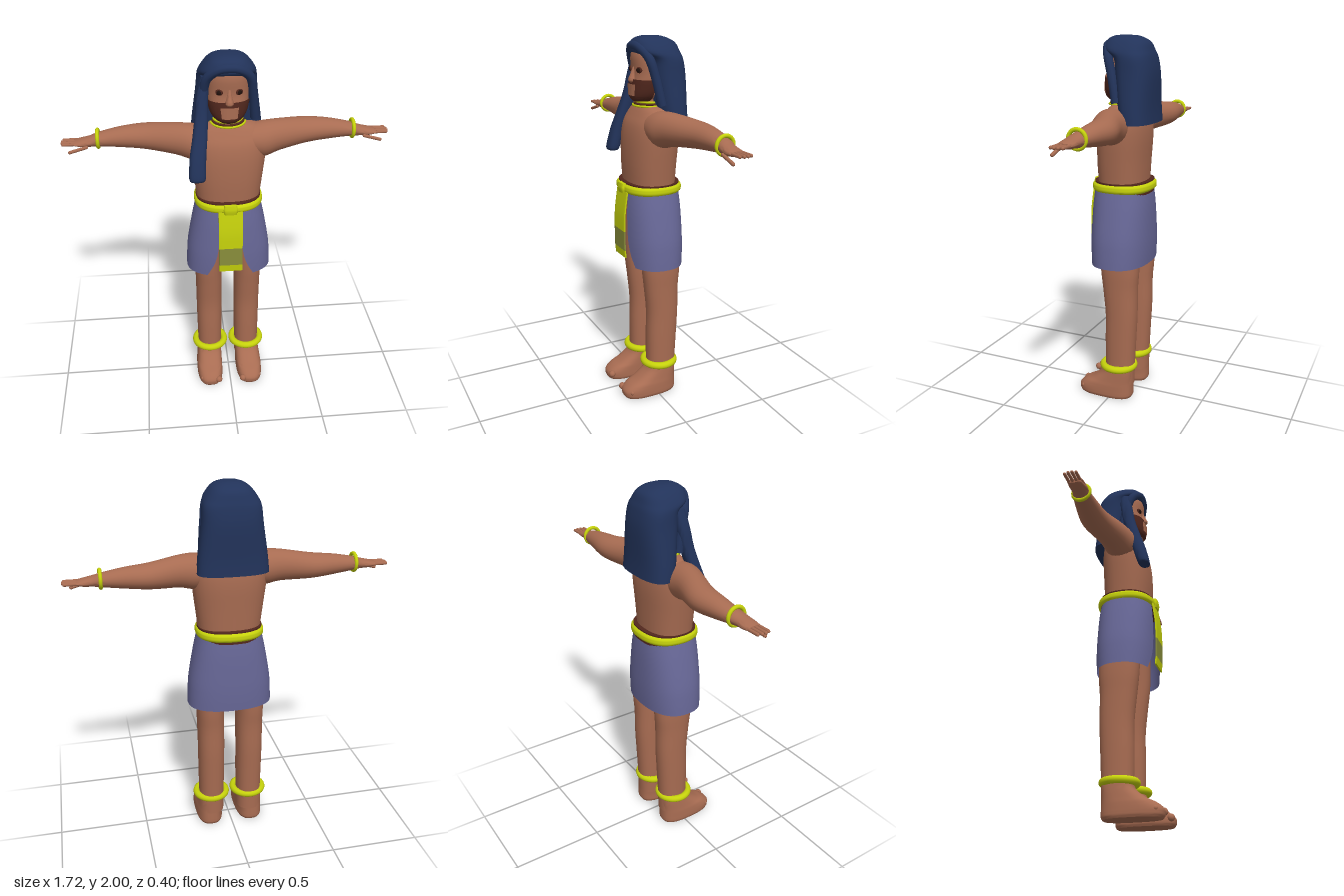
import * as THREE from 'three';
import { toCreasedNormals } from 'three/addons/utils/BufferGeometryUtils.js';

const mat = (name, color, open) => {
  const m = new THREE.MeshStandardMaterial({ color });
  m.name = name;
  if (open) m.side = THREE.DoubleSide;
  return m;
};

// Catmull-Rom subdivision of a list of rings
function smooth(rings, k) {
  const out = [], at = i => rings[Math.min(Math.max(i, 0), rings.length - 1)];
  for (let i = 0; i < rings.length - 1; i++) {
    for (let s = 0; s < k; s++) {
      const t = s / k, [a, b, c, d] = [at(i - 1), at(i), at(i + 1), at(i + 2)];
      out.push(b.map((_, n) => b[n] + 0.5 * t * (c[n] - a[n]
        + t * (2 * a[n] - 5 * b[n] + 4 * c[n] - d[n] + t * (3 * (b[n] - c[n]) + d[n] - a[n])))));
    }
  }
  out.push(at(rings.length));
  return out;
}

// Upward loft of superellipse rings [y, cx, cz, rx, rz, startAngle, endAngle]; angle 0 faces +z
function loft(rings, { p = 2, n = 32, k = 4, open = false, crease = 0.9 } = {}) {
  const list = k > 1 ? smooth(rings, k) : rings, pos = [], idx = [];
  const pow = v => Math.sign(v) * Math.abs(v) ** (2 / p);
  const cols = open ? n + 1 : n;
  for (const [y, cx, cz, rx, rz, a0 = 0, a1 = Math.PI * 2] of list) {
    for (let j = 0; j < cols; j++) {
      const a = a0 + (a1 - a0) * j / n;
      pos.push(cx + rx * pow(Math.sin(a)), y, cz + rz * pow(Math.cos(a)));
    }
  }
  for (let i = 0; i < list.length - 1; i++) {
    for (let j = 0; j < n; j++) {
      const a = i * cols + j, b = i * cols + (j + 1) % cols;
      idx.push(a, b, b + cols, a, b + cols, a + cols);
    }
  }
  if (!open) {
    const top = (list.length - 1) * n, c = list.length * n, last = list[list.length - 1];
    pos.push(list[0][1], list[0][0], list[0][2], last[1], last[0], last[2]);
    for (let j = 0; j < n; j++) {
      const m = (j + 1) % n;
      idx.push(c, m, j, c + 1, top + j, top + m);
    }
  }
  const g = new THREE.BufferGeometry();
  g.setAttribute('position', new THREE.Float32BufferAttribute(pos, 3));
  g.setIndex(idx);
  return toCreasedNormals(g, crease);
}

export function createModel() {
  const root = new THREE.Group();
  root.name = 'figure';
  const skin = mat('skin', 0xa86c52), skinPatch = mat('mouth skin', 0xa86c52, true);
  const hair = mat('hair navy', 0x22335a), gold = mat('gold', 0xc6d20c);
  const cloth = mat('kilt cloth', 0x686898, true), olive = mat('apron olive', 0x8a8f3c);
  const brown = mat('beard brown', 0x52281e, true), dark = mat('eye dark', 0x24140f);
  const add = (name, geo, m, x = 0, y = 0, z = 0, parent = root) => {
    const mesh = new THREE.Mesh(geo, m);
    mesh.name = name;
    mesh.position.set(x, y, z);
    parent.add(mesh);
    return mesh;
  };

  // Body
  add('torso', loft([
    [1.1, 0, -0.02, 0.16, 0.12], [1.22, 0, -0.02, 0.168, 0.125], [1.35, 0, -0.02, 0.183, 0.13],
    [1.47, 0, -0.025, 0.197, 0.13], [1.55, 0, -0.03, 0.2, 0.12], [1.6, 0, -0.035, 0.185, 0.1],
    [1.635, 0, -0.035, 0.14, 0.078], [1.655, 0, -0.035, 0.07, 0.06]], { p: 2.4 }), skin);
  add('neck', loft([[1.58, 0, -0.035, 0.075, 0.07], [1.64, 0, -0.03, 0.066, 0.062],
    [1.72, 0, -0.025, 0.064, 0.06]]), skin);

  // Head and face
  const face = [[1.672, 0, 0.005, 0.045, 0.055], [1.69, 0, 0, 0.07, 0.074], [1.72, 0, -0.004, 0.088, 0.081],
    [1.765, 0, -0.01, 0.1, 0.085], [1.82, 0, -0.02, 0.105, 0.086], [1.9, 0, -0.02, 0.1, 0.09],
    [1.95, 0, -0.02, 0.08, 0.075]];
  add('head', loft(face, { p: 2.2 }), skin);
  const beard = face.slice(0, 4).concat([[1.787, 0, -0.013, 0.103, 0.086]])
    .map(([y, x, z, rx, rz]) => [y, x, z, rx + 0.006, rz + 0.006, -1.6, 1.6]);
  add('beard', loft(beard, { p: 2.2, open: true }), brown);
  add('mouth', loft([[1.703, 0, -0.002, 0.088, 0.089, -0.42, 0.42],
    [1.762, 0, -0.01, 0.108, 0.096, -0.4, 0.4]], { p: 2.2, open: true, k: 1, n: 12 }), skinPatch);
  add('nose', loft([[1.768, 0, 0.055, 0.018, 0.03], [1.782, 0, 0.06, 0.024, 0.036],
    [1.81, 0, 0.055, 0.015, 0.03], [1.85, 0, 0.05, 0.01, 0.018]], { n: 16 }), skin);
  for (const s of [-1, 1]) {
    const lid = add('eyeRim', new THREE.SphereGeometry(0.02, 16, 10), brown, s * 0.05, 1.835, 0.057);
    lid.scale.set(1, 0.8, 0.4);
    lid.rotation.y = s * 0.45;
    const eye = add('eye', new THREE.SphereGeometry(0.012, 12, 8), dark, s * 0.051, 1.835, 0.062);
    eye.scale.z = 0.5;
    eye.rotation.y = s * 0.45;
  }

  // Long headcloth-like hair, its front arch and the side lock
  add('hair', loft([
    [1.555, 0, -0.118, 0.187, 0.082], [1.64, 0, -0.108, 0.18, 0.088], [1.8, 0, -0.097, 0.158, 0.1],
    [1.885, 0, -0.085, 0.15, 0.1], [1.925, 0, -0.05, 0.137, 0.122], [1.965, 0, -0.042, 0.108, 0.112],
    [1.988, 0, -0.033, 0.08, 0.085], [2.0, 0, -0.03, 0.045, 0.05]], { p: 2.6, n: 40 }), hair);
  add('hairArch', new THREE.TubeGeometry(new THREE.CatmullRomCurve3([
    [-0.13, 1.68, -0.02], [-0.125, 1.8, 0], [-0.105, 1.9, 0.03], [-0.05, 1.947, 0.055], [0, 1.955, 0.06],
    [0.05, 1.947, 0.055], [0.105, 1.9, 0.03], [0.125, 1.8, 0], [0.14, 1.66, -0.03]
  ].map(v => new THREE.Vector3(...v))), 40, 0.024, 10), hair);
  add('sideLock', loft([
    [1.385, -0.168, 0.118, 0.03, 0.02], [1.4, -0.168, 0.115, 0.043, 0.032], [1.5, -0.162, 0.088, 0.042, 0.036],
    [1.6, -0.148, 0.055, 0.038, 0.036], [1.7, -0.137, 0.025, 0.034, 0.034], [1.8, -0.13, 0.005, 0.03, 0.034],
    [1.9, -0.11, -0.01, 0.025, 0.03]], { p: 2.6, n: 20 }), hair);

  // Necklaces
  for (const [y, r, m] of [[1.668, 0.074, gold], [1.657, 0.08, brown], [1.648, 0.088, gold]]) {
    add('necklace', new THREE.TorusGeometry(r, 0.006, 8, 40), m, 0, y, -0.027).rotation.x = Math.PI / 2;
  }

  for (const s of [-1, 1]) {
    const side = new THREE.Group();
    side.name = s > 0 ? 'leftLimbs' : 'rightLimbs';
    root.add(side);
    // Arm: [distance out, height, z, half height, half depth]
    const arm = [[0.08, 1.55, -0.02, 0.075, 0.085], [0.18, 1.545, -0.02, 0.094, 0.09],
      [0.27, 1.555, -0.04, 0.083, 0.082], [0.42, 1.555, -0.085, 0.067, 0.076], [0.55, 1.555, -0.088, 0.053, 0.06],
      [0.66, 1.55, -0.08, 0.036, 0.046], [0.705, 1.545, -0.072, 0.027, 0.042], [0.75, 1.541, -0.07, 0.02, 0.043],
      [0.785, 1.541, -0.07, 0.011, 0.04]].map(([t, h, z, rh, rz]) => [t, -s * h, z, rh, rz]);
    add('arm', loft(arm, { n: 24 }).rotateZ(-s * Math.PI / 2), skin, 0, 0, 0, side);
    [-0.101, -0.081, -0.061, -0.042].forEach((z, i) => add('finger',
      new THREE.CapsuleGeometry(0.0085, 0.07, 4, 8).rotateZ(Math.PI / 2), skin,
      s * (0.808 + (i % 3 ? 0.006 : 0)), 1.542, z, side));
    add('thumb', new THREE.CapsuleGeometry(0.009, 0.09, 4, 8).rotateZ(s * (Math.PI / 2 - 0.28)), skin,
      s * 0.768, 1.516, -0.03, side).scale.set(1, 1, 1);
    add('bracelet', new THREE.TorusGeometry(0.045, 0.01, 10, 32).rotateY(Math.PI / 2), gold,
      s * 0.667, 1.555, -0.078, side);

    // Leg, foot and toes
    add('leg', loft([[0.08, s * 0.112, -0.043, 0.07, 0.08], [0.2, s * 0.111, -0.043, 0.071, 0.083],
      [0.35, s * 0.111, -0.046, 0.073, 0.087], [0.5, s * 0.111, -0.05, 0.074, 0.09],
      [0.65, s * 0.111, -0.043, 0.075, 0.098], [0.8, s * 0.111, -0.04, 0.076, 0.11],
      [1.15, s * 0.09, -0.03, 0.078, 0.11]], { p: 2.3, n: 24 }), skin, 0, 0, 0, side);
    add('foot', loft([[0, s * 0.12, 0.037, 0.07, 0.15], [0.015, s * 0.12, 0.038, 0.076, 0.158],
      [0.045, s * 0.12, 0.038, 0.076, 0.158], [0.075, s * 0.119, 0.022, 0.075, 0.141],
      [0.1, s * 0.117, -0.003, 0.073, 0.116], [0.15, s * 0.114, -0.036, 0.07, 0.086],
      [0.2, s * 0.111, -0.043, 0.068, 0.08]], { p: 2.8 }), skin, 0, 0, 0, side);
    for (let i = 0; i < 5; i++) {
      add('toe', new THREE.SphereGeometry(i ? 0.014 : 0.02, 10, 8), skin,
        s * (0.073 + i * 0.024), 0.04, 0.182 - i * 0.005, side);
    }
    add('anklet', new THREE.TorusGeometry(0.086, 0.02, 12, 40).rotateX(Math.PI / 2), gold,
      s * 0.11, 0.185, -0.033, side);
  }

  // Kilt, open at the front
  add('kilt', loft([
    [0.785, 0, -0.02, 0.234, 0.156, 0.5], [0.86, 0, -0.02, 0.231, 0.16, 0.33], [0.95, 0, -0.02, 0.223, 0.161, 0.24],
    [1.1, 0, -0.02, 0.196, 0.157, 0.22], [1.2, 0, -0.02, 0.174, 0.148, 0.22]
  ].map(r => [...r, Math.PI * 2 - r[5]]), { p: 2.4, n: 48, open: true }), cloth);

  // Belt over a dark band, with a knot
  const band = (y, rx, rz) => [y, 0, -0.021, rx, rz];
  add('beltLining', loft([band(1.176, 0.174, 0.15), band(1.243, 0.174, 0.15)], { p: 2.4, n: 48, k: 1 }), brown);
  add('belt', loft([band(1.188, 0.172, 0.15), band(1.198, 0.182, 0.162), band(1.212, 0.184, 0.164),
    band(1.226, 0.182, 0.162), band(1.236, 0.172, 0.15)], { p: 2.4, n: 48, k: 2 }), gold);
  add('beltKnot', loft([[1.187, 0, 0.135, 0.032, 0.014], [1.213, 0, 0.135, 0.038, 0.018],
    [1.24, 0, 0.135, 0.032, 0.014]], { p: 4 }), gold);

  // Hanging apron strip
  const strip = (name, m, rows) => add(name,
    loft(rows.map(([y, z]) => [y, 0, z, 0.064, 0.005]), { p: 8, n: 32 }), m);
  strip('apronHem', gold, [[0.828, 0.147], [0.87, 0.151]]);
  strip('apronPanel', olive, [[0.87, 0.151], [0.98, 0.153]]);
  strip('apron', gold, [[0.98, 0.153], [1.08, 0.15], [1.2, 0.134]]);
  return root;
}
